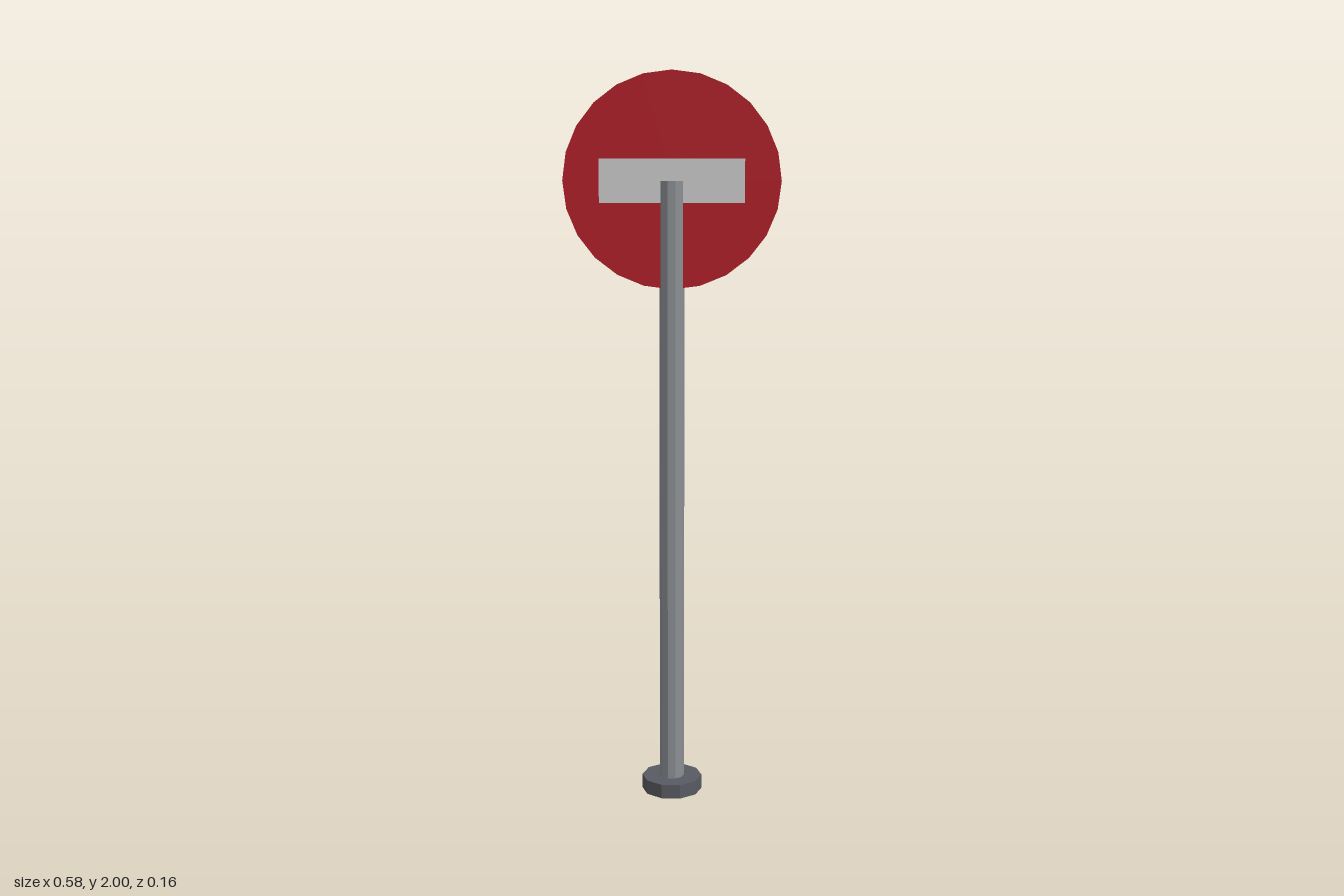
import * as THREE from 'three';

const mat = (color) => new THREE.MeshStandardMaterial({ color, flatShading: true });

function add(group, name, geometry, color) {
  const mesh = new THREE.Mesh(geometry, mat(color));
  mesh.name = name;
  group.add(mesh);
  return mesh;
}

// Upright ten-sided prism with corners on the x axis
function decagon(radius, y0, y1) {
  return new THREE.CylinderGeometry(radius, radius, y1 - y0, 10)
    .rotateY(Math.PI / 2)
    .translate(0, (y0 + y1) / 2, 0);
}

export function createModel() {
  const group = new THREE.Group();
  group.name = 'roadSign';
  const signY = 1.712;

  // Ground foot and pole, the pole ending at the middle of the disc
  add(group, 'foot', decagon(0.084, 0, 0.04), 0x585b62);
  add(group, 'pole', decagon(0.034, 0.002, 1.712), 0x8c9094);

  // Round plate, 24 sides, standing upright and centred on the pole
  const plate = new THREE.CylinderGeometry(0.291, 0.291, 0.026, 24)
    .rotateX(Math.PI / 2)
    .scale(1, 0.99, 1);
  add(group, 'plate', plate, 0xb01e28).position.y = signY;

  // Pale bar on the front of the plate only
  const bar = new THREE.PlaneGeometry(0.388, 0.116);
  add(group, 'bar', bar, 0xd6d6d2).position.set(0, signY, 0.0145);

  return group;
}
